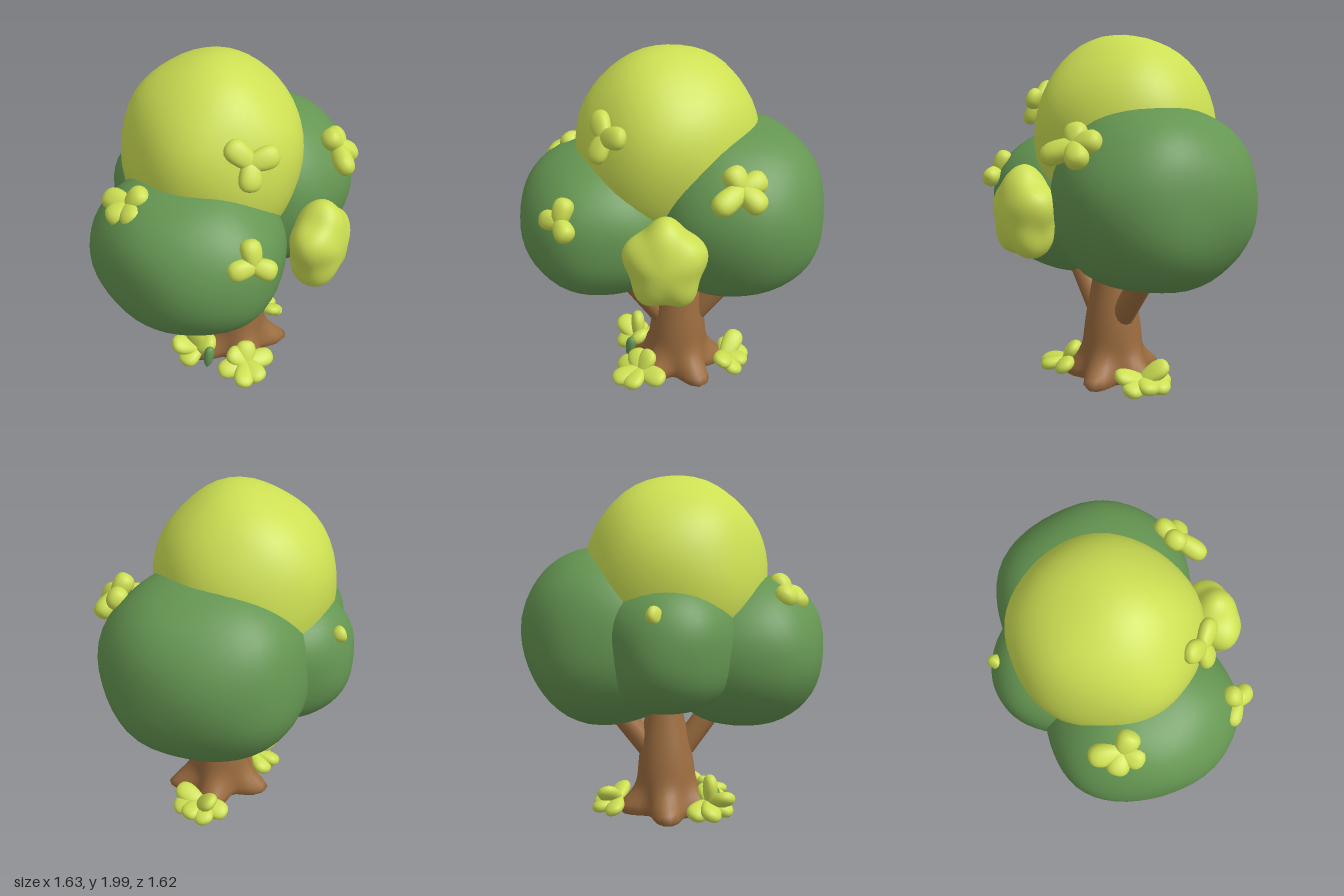
import * as THREE from 'three';
import { mergeVertices } from 'three/addons/utils/BufferGeometryUtils.js';

const V = (a) => new THREE.Vector3(...a);
const paint = (name, color) => {
  const m = new THREE.MeshStandardMaterial({ color });
  m.name = name;
  return m;
};

// Welded sphere so that displaced surfaces stay smooth
function ball(detail) {
  const g = new THREE.IcosahedronGeometry(1, detail);
  g.deleteAttribute('uv');
  g.deleteAttribute('normal');
  return mergeVertices(g, 1e-4);
}

function reshape(g, rule) {
  const p = g.attributes.position, v = new THREE.Vector3();
  for (let i = 0; i < p.count; i++) {
    rule(v.fromBufferAttribute(p, i));
    p.setXYZ(i, v.x, v.y, v.z);
  }
  g.computeVertexNormals();
  return g;
}

export function createModel() {
  const tree = new THREE.Group();
  tree.name = 'tree';
  const green = paint('dark leaf green', 0x659652);
  const lime = paint('light leaf green', 0xcddf53);
  const bark = paint('bark brown', 0x9b6c3f);

  const add = (name, geometry, material, parent = tree) => {
    const m = new THREE.Mesh(geometry, material);
    m.name = name;
    parent.add(m);
    return m;
  };

  // Lumpy foliage mass: a slightly boxy ellipsoid with low bumps, and optional petals around its local x axis
  function foliage(name, material, centre, radii, { power = 2, seed = 0, yaw = 0, petals = 0 } = {}) {
    const g = reshape(ball(8), (v) => {
      const sum = Math.abs(v.x) ** power + Math.abs(v.y) ** power + Math.abs(v.z) ** power;
      const wave = Math.sin(5 * v.x + seed) * Math.sin(5 * v.y + 2 * seed + 1)
        + Math.sin(5 * v.z + 3 * seed) * Math.sin(4 * v.x - seed);
      const petal = petals * (1 - v.x * v.x) * Math.cos(5 * Math.atan2(v.z, v.y));
      v.multiplyScalar(sum ** (-1 / power) * (1 + 0.015 * wave + petal)).multiply(V(radii));
    });
    const m = add(name, g, material);
    m.position.set(...centre);
    m.rotation.y = yaw;
  }

  // Masses turned along the x = z diagonal
  const diagonal = -Math.PI / 4;
  foliage('crownTop', lime, [-0.07, 1.44, -0.04], [0.5, 0.56, 0.525], { power: 2.05, seed: 1 });
  foliage('frontFoliage', green, [-0.29, 1.03, 0.27], [0.54, 0.445, 0.47], { power: 2.2, seed: 2, yaw: diagonal });
  foliage('sideFoliage', green, [0.25, 1.11, -0.26], [0.57, 0.51, 0.505], { power: 2.2, seed: 3, yaw: diagonal });
  foliage('backFoliage', green, [-0.23, 1.09, -0.26], [0.37, 0.37, 0.37], { power: 2.3, seed: 4 });
  foliage('smallFoliage', lime, [0.41, 1.04, 0.43], [0.15, 0.245, 0.21], { power: 2.1, seed: 5, yaw: diagonal, petals: 0.08 });

  // Trunk with five spreading, rounded roots
  const trunk = new THREE.CylinderGeometry(1, 1, 0.9, 40, 30);
  trunk.deleteAttribute('uv');
  reshape(trunk, (v) => {
    const h = v.y + 0.45;
    const lobe = 0.5 + 0.5 * Math.cos(5 * (Math.atan2(v.z, v.x) - 0.26));
    const taper = 0.172 - 0.07 * THREE.MathUtils.smoothstep(h, 0.2, 0.75);
    const foot = Math.exp(-((h / 0.12) ** 2));
    const tuck = 1 - 0.12 * Math.max(0, 1 - h / 0.045) ** 2;
    const r = (taper + foot * (0.04 + 0.14 * lobe)) * tuck;
    v.set(v.x * r + 0.05 + 0.05 * h, h + 0.02, v.z * r * (1 - 0.12 * foot) + 0.01);
  });
  add('trunk', trunk, bark);

  // Branches rising from inside the trunk into the foliage
  function branch(name, from, to, r0, r1) {
    const a = V(from), b = V(to), d = b.clone().sub(a);
    const m = add(name, new THREE.CylinderGeometry(r1, r0, d.length(), 14), bark);
    m.position.copy(a).addScaledVector(d, 0.5);
    m.quaternion.setFromUnitVectors(new THREE.Vector3(0, 1, 0), d.normalize());
  }
  branch('frontBranch', [0.06, 0.3, 0.04], [-0.17, 0.78, 0.31], 0.07, 0.068);
  branch('backBranch', [0.08, 0.3, 0], [0.34, 0.76, -0.25], 0.07, 0.068);

  // Leaf sprig: flattened lobes pointing from a centre to each tip
  const leafShape = reshape(ball(3), (v) => {
    const w = 0.88 + 0.22 * v.x;
    v.multiplyScalar((Math.abs(v.x) ** 2.4 + Math.abs(v.y) ** 2.4 + Math.abs(v.z) ** 2.4) ** (-1 / 2.4));
    v.set(v.x, v.y * w, v.z * w);
  });
  function sprig(name, centre, normal, tips, width, thick, material = lime) {
    const group = new THREE.Group();
    group.name = name;
    const c = V(centre), n = V(normal).normalize();
    tips.forEach((tip) => {
      const d = V(tip).sub(c), len = d.length();
      const x = d.clone().normalize();
      const y = n.clone().cross(x).normalize();
      const z = x.clone().cross(y);
      const leaf = add('leaf', leafShape, material, group);
      leaf.quaternion.setFromRotationMatrix(new THREE.Matrix4().makeBasis(x, y, z));
      leaf.scale.set(len * 0.6, width, thick);
      leaf.position.copy(c).addScaledVector(d, 0.4);
    });
    tree.add(group);
  }

  // Sprigs on the crown
  sprig('crownSprig', [-0.01, 1.63, 0.47], [0.05, 0.4, 0.9],
    [[-0.12, 1.73, 0.42], [0.14, 1.66, 0.46], [-0.03, 1.5, 0.53]], 0.066, 0.045);
  sprig('frontSprig', [-0.07, 1.21, 0.74], [0.2, 0.4, 0.9],
    [[-0.21, 1.19, 0.75], [-0.08, 1.33, 0.68], [0.04, 1.16, 0.77]], 0.06, 0.055);
  sprig('leftSprig', [-0.6, 1.36, 0.28], [-0.6, 0.75, 0.25],
    [[-0.7, 1.35, 0.13], [-0.51, 1.45, 0.3], [-0.6, 1.33, 0.41], [-0.72, 1.3, 0.29]], 0.07, 0.06);
  sprig('rightSprig', [0.62, 1.43, 0.1], [0.75, 0.6, 0.25],
    [[0.65, 1.46, -0.04], [0.54, 1.53, 0.11], [0.61, 1.36, 0.28], [0.74, 1.34, 0.06]], 0.068, 0.06);
  sprig('backSprig', [-0.37, 1.29, -0.55], [-0.3, 0.5, -0.8], [[-0.43, 1.3, -0.55]], 0.05, 0.05);

  // Leaves around the roots
  sprig('leftGroundLeaves', [-0.22, 0.1, 0.09], [-0.3, 0.9, 0.3],
    [[-0.23, 0.28, 0.08], [-0.38, 0.18, 0.1], [-0.33, 0.05, 0.17], [-0.34, 0.07, -0.03],
      [-0.22, 0.06, -0.08], [-0.12, 0.18, 0.15]], 0.07, 0.045);
  sprig('frontGroundLeaves', [0.04, 0.09, 0.3], [0, 0.8, 0.5],
    [[-0.14, 0.07, 0.31], [0.06, 0.2, 0.22], [0.22, 0.09, 0.27], [0.1, 0.06, 0.44],
      [-0.03, 0.06, 0.46], [-0.06, 0.17, 0.25]], 0.066, 0.04);
  sprig('backGroundLeaves', [0.28, 0.08, -0.2], [0.3, 0.9, -0.3],
    [[0.43, 0.05, -0.14], [0.37, 0.13, -0.06], [0.4, 0.06, -0.27], [0.25, 0.18, -0.34],
      [0.16, 0.06, -0.34], [0.31, 0.05, -0.36]], 0.066, 0.04);
  sprig('darkGroundLeaf', [-0.18, 0.05, 0.2], [0.2, 0.2, 0.9], [[-0.16, 0.17, 0.19]], 0.035, 0.03, green);

  return tree;
}
